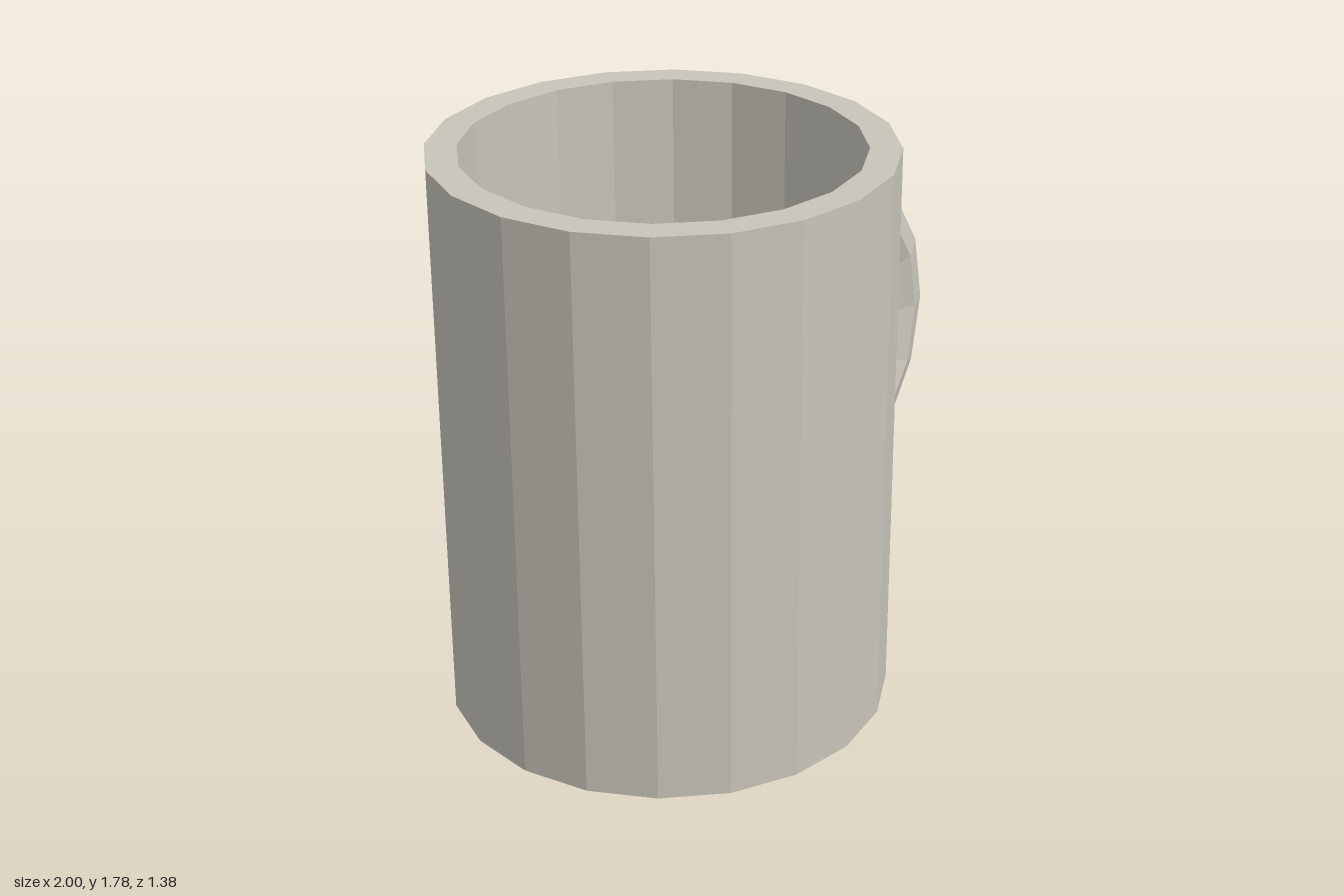
import * as THREE from 'three';

export function createModel() {
  const model = new THREE.Group();
  model.name = 'mug';

  const ceramic = new THREE.MeshStandardMaterial({ color: 0xc8c4ba, flatShading: true, side: THREE.DoubleSide });
  ceramic.name = 'warm grey ceramic';

  const outer = 0.69, inner = 0.595, height = 1.78, floor = 0.1, centreX = -0.31;

  // Cup: underside, outer wall, rim, inner wall and floor in one turned profile
  const profile = [
    [0, 0], [outer, 0], [outer, height], [inner, height], [inner, floor], [0, floor],
  ].map(([r, y]) => new THREE.Vector2(r, y));
  const cup = new THREE.Mesh(new THREE.LatheGeometry(profile, 20), ceramic);
  cup.name = 'cup';
  cup.position.x = centreX;
  model.add(cup);

  // Handle: half ring on the +x side, its ends meeting the wall
  const ring = new THREE.TorusGeometry(0.5, 0.115, 8, 8, Math.PI);
  ring.rotateZ(-Math.PI / 2);
  const handle = new THREE.Mesh(ring, ceramic);
  handle.name = 'handle';
  handle.position.set(centreX + outer, height / 2, 0);
  model.add(handle);

  return model;
}
